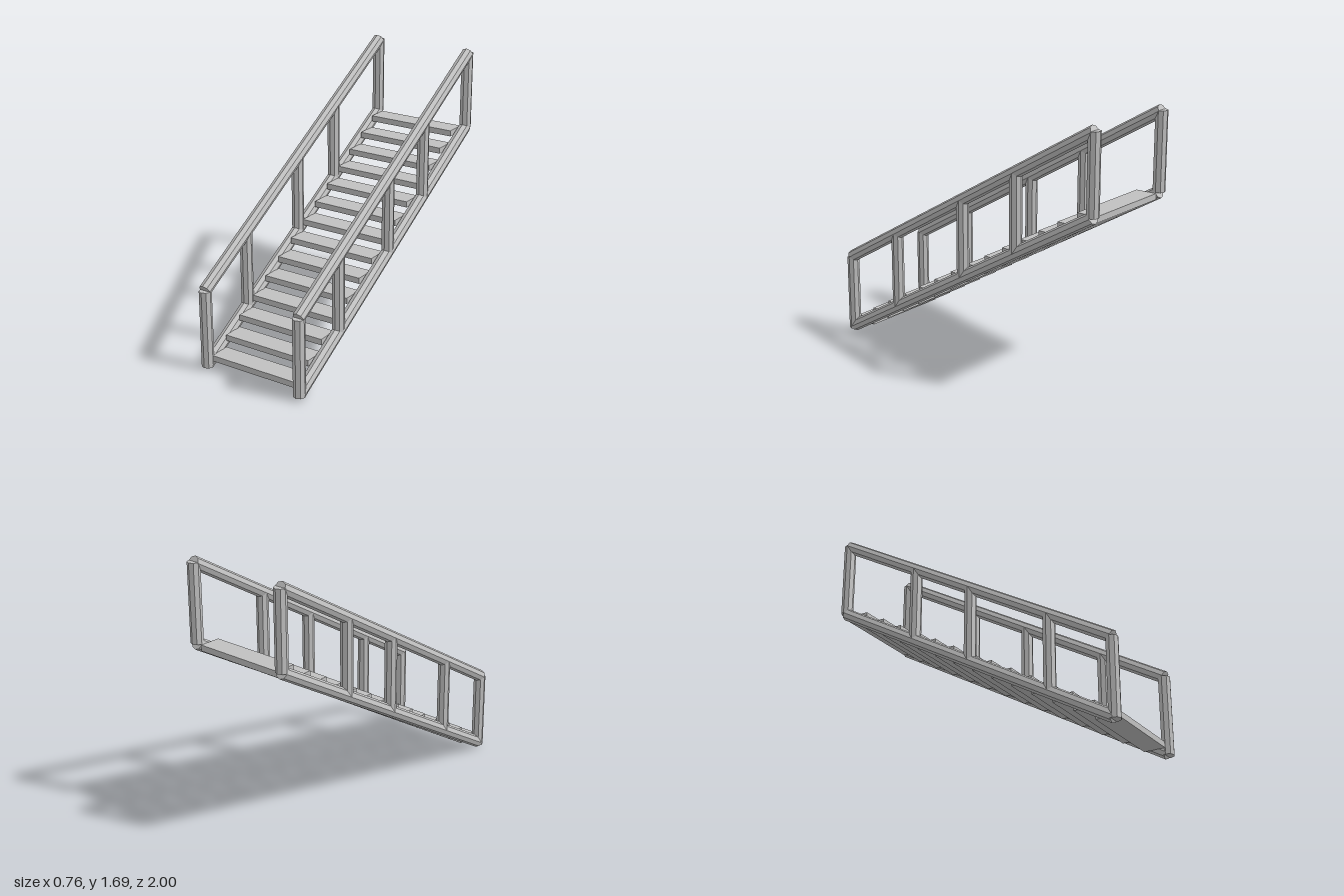
import * as THREE from 'three';

export function createModel() {
  const model = new THREE.Group();
  model.name = 'staircase';
  const grey = new THREE.MeshStandardMaterial({ color: 0xc0c0c0, flatShading: true });
  grey.name = 'grey metal';

  const radius = 0.039, railX = 0.341;
  const up = new THREE.Vector3(0, 1, 0);

  // Octagonal bar between two (z, y) points in the plane at x
  function bar(name, x, z0, y0, z1, y1) {
    const a = new THREE.Vector3(x, y0, z0);
    const b = new THREE.Vector3(x, y1, z1);
    const dir = b.clone().sub(a);
    const mesh = new THREE.Mesh(new THREE.CylinderGeometry(radius, radius, dir.length(), 8), grey);
    mesh.quaternion.setFromUnitVectors(up, dir.normalize());
    mesh.position.copy(a).add(b).multiplyScalar(0.5);
    mesh.name = name;
    model.add(mesh);
  }

  const front = 0.962, back = -0.958;
  const along = (z, y0, y1) => y0 + (y1 - y0) * (front - z) / (front - back);

  for (const [side, x] of [['left', railX], ['right', -railX]]) {
    // Sloping stringer and handrail
    bar(side + 'Stringer', x, front, 0.033, back, 1.157);
    bar(side + 'Handrail', x, front + 0.003, 0.521, back - 0.002, 1.657);

    // End posts and the three posts between them
    bar(side + 'FrontPost', x, front, 0.018, front, 0.518);
    bar(side + 'BackPost', x, back, 1.16, back, 1.66);
    [0.555, 0.005, -0.407].forEach((z, i) =>
      bar(side + 'MiddlePost' + (i + 1), x, z, along(z, 0.033, 1.157), z, along(z, 0.521, 1.657)));
  }

  // Fourteen open treads
  const count = 14, depth = 1.92 / count, thickness = 0.038;
  const treadShape = new THREE.BoxGeometry(0.612, thickness, depth);
  for (let i = 0; i < count; i++) {
    const tread = new THREE.Mesh(treadShape, grey);
    tread.position.set(0, 0.096 - thickness / 2 + i * 0.0815, 0.96 - (i + 0.5) * depth);
    tread.name = 'tread' + (i + 1);
    model.add(tread);
  }
  return model;
}
